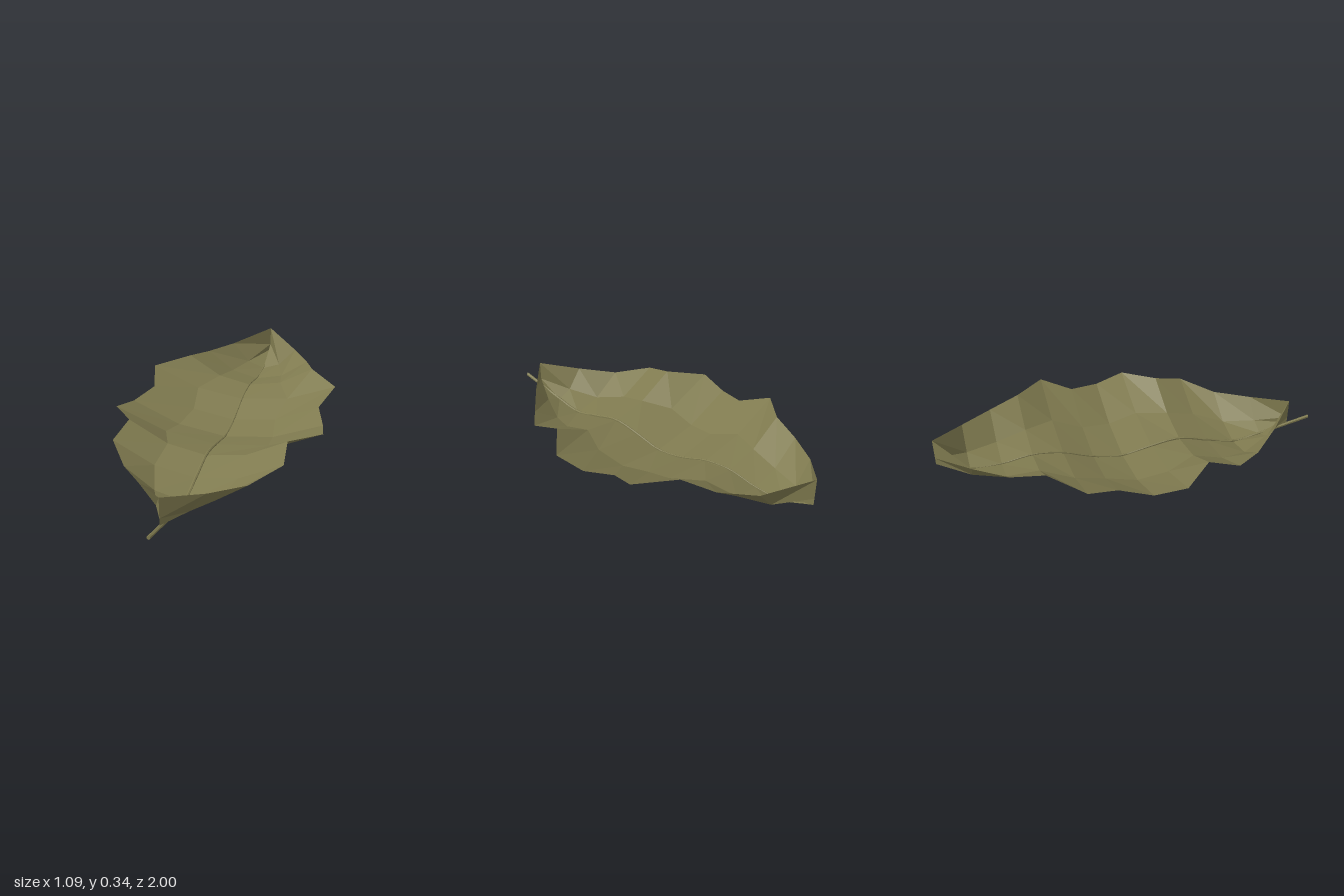
import * as THREE from 'three';

// Leaf rows from the stem end to the tip
const Z_START = 0.875, Z_TIP = -1, ROWS = 12, COLS = 4, LIFT = 0.138;
const halfWidth = [0, 0.16, 0.3, 0.425, 0.405, 0.545, 0.515, 0.46, 0.515, 0.357, 0.295, 0.19, 0];
const spineY = [0.067, 0.027, 0.005, 0.047, 0.09, 0.075, 0.046, 0.072, 0.131, 0.154, 0.132, 0.138, 0.203];

// Height of the folded centre line at any z
function spineAt(z) {
  const t = THREE.MathUtils.clamp((Z_START - z) / (Z_START - Z_TIP), 0, 1) * ROWS;
  const i = Math.min(Math.floor(t), ROWS - 1);
  return THREE.MathUtils.lerp(spineY[i], spineY[i + 1], t - i);
}

// Wavy blade: a coarse plane, shaped by the outline and curled up at the sides
function buildBlade(material) {
  const geo = new THREE.PlaneGeometry(2, Z_START - Z_TIP, COLS, ROWS);
  const pos = geo.attributes.position;
  for (let i = 0; i < pos.count; i++) {
    const u = pos.getX(i);
    const row = ROWS - Math.floor(i / (COLS + 1));
    const z = THREE.MathUtils.lerp(Z_START, Z_TIP, row / ROWS);
    // row 0 of the plane is the tip
    pos.setXYZ(i, u * halfWidth[row], spineY[row] + LIFT * u * u, z);
  }
  geo.computeVertexNormals();
  const mesh = new THREE.Mesh(geo, material);
  mesh.name = 'leafBlade';
  return mesh;
}

// Tapered stem that runs on as the midrib along the centre fold
function buildStem(material) {
  const zEnd = -0.97, length = 1 - zEnd;
  const geo = new THREE.CylinderGeometry(0.003, 0.009, length, 6, 38);
  geo.rotateX(-Math.PI / 2);
  geo.translate(0, 0, (1 + zEnd) / 2);
  const path = new THREE.CatmullRomCurve3(
    [1, 0.875, 0.72, 0.56, 0.4, 0.25, 0.09, -0.06, -0.22, -0.375, -0.53, -0.69, -0.845, -0.97].map(
      (z) => new THREE.Vector3(0, z > 0.9 ? 0.084 : spineAt(z) + (z > 0.8 ? -0.006 : 0.004), z)
    )
  );
  const samples = path.getPoints(260);
  const heightAt = (z) => {
    const k = samples.findIndex((p) => p.z <= z);
    return samples[k < 0 ? samples.length - 1 : k].y;
  };
  const pos = geo.attributes.position;
  for (let i = 0; i < pos.count; i++) {
    pos.setY(i, pos.getY(i) + heightAt(Math.min(pos.getZ(i), 1)));
  }
  geo.computeVertexNormals();
  const mesh = new THREE.Mesh(geo, material);
  mesh.name = 'stemAndMidrib';
  return mesh;
}

export function createModel() {
  const olive = new THREE.MeshStandardMaterial({ color: 0x7f7a4f, flatShading: true, side: THREE.DoubleSide });
  olive.name = 'olive leaf';

  const leaf = new THREE.Group();
  leaf.name = 'leaf';
  leaf.add(buildBlade(olive), buildStem(olive));
  return leaf;
}
